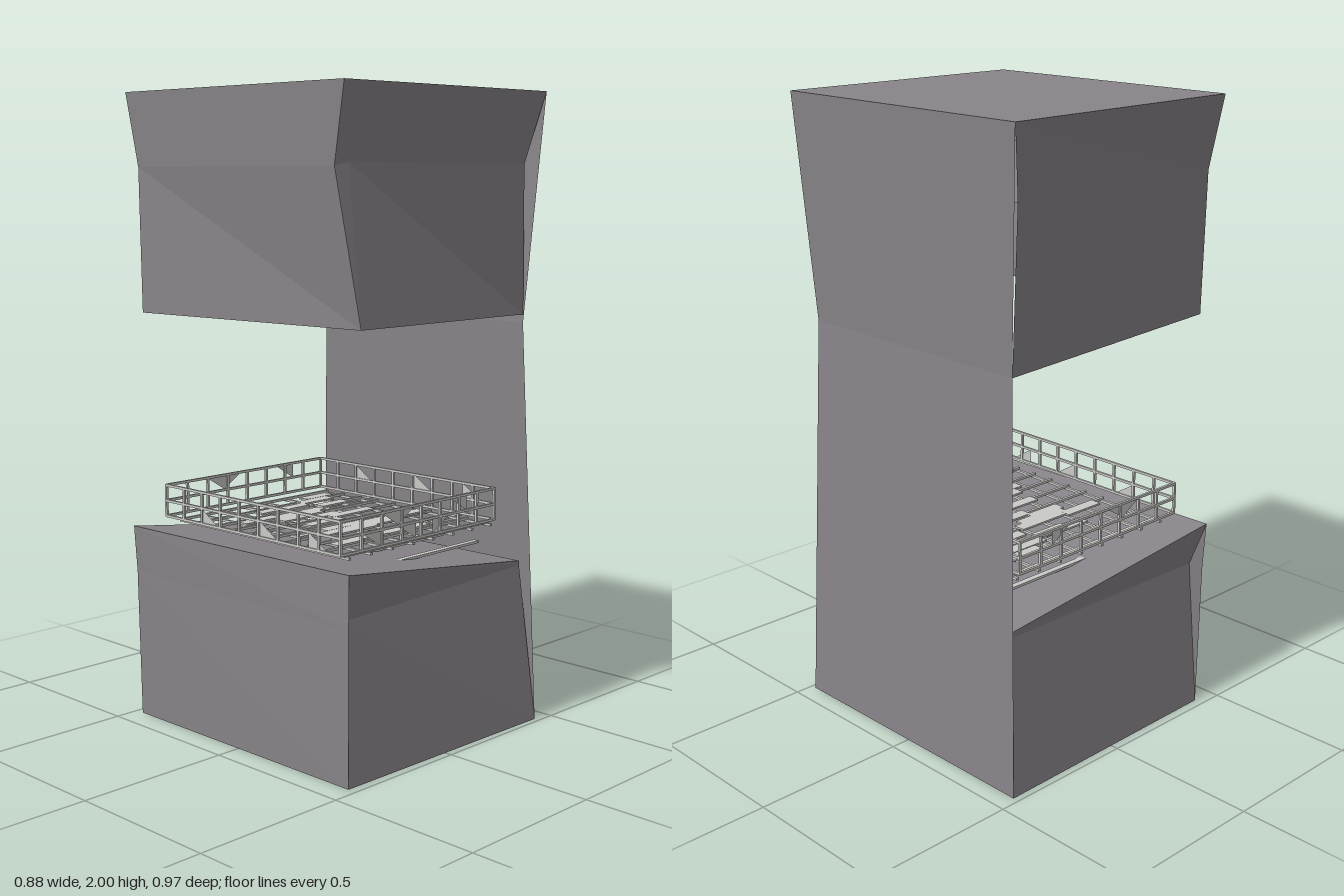
import * as THREE from 'three';

const hullMat = new THREE.MeshStandardMaterial({ name: 'warmGrey', color: 0x888489, side: THREE.DoubleSide, flatShading: true });
const railMat = new THREE.MeshStandardMaterial({ name: 'paleGrey', color: 0xcacac8, side: THREE.DoubleSide });

// Flat-shaded mesh from four-cornered faces
function faces(name, quads, mat = hullMat) {
  const pos = [];
  for (const [a, b, c, d] of quads) pos.push(...a, ...b, ...c, ...a, ...c, ...d);
  const g = new THREE.BufferGeometry();
  g.setAttribute('position', new THREE.Float32BufferAttribute(pos, 3));
  g.computeVertexNormals();
  const m = new THREE.Mesh(g, mat);
  m.name = name;
  return m;
}

// Rings run back-left, front-left, ..., front-right, back-right; the +x side stays open
function skin(rings) {
  const quads = [];
  for (let r = 0; r < rings.length - 1; r++) {
    const up = rings[r], low = rings[r + 1], n = up.length;
    for (let i = 0; i < n; i++) {
      if (i === n - 2) continue;
      const j = (i + 1) % n;
      quads.push([up[i], low[i], low[j], up[j]]);
    }
  }
  return quads;
}

function bar(group, name, x, y, z, w, h, d) {
  const m = new THREE.Mesh(new THREE.BoxGeometry(w, h, d), railMat);
  m.position.set(x, y, z);
  m.name = name;
  group.add(m);
}

export function createModel() {
  const model = new THREE.Group();
  model.name = 'hollowTower';

  // Hollow upper block with pinched waist and a ceiling
  const top = [[-0.44, 2, -0.475], [-0.44, 2, 0.472], [-0.44, 2, 0.472], [0.437, 2, 0.482], [0.437, 2, -0.483]];
  const waist = [[-0.43, 1.77, -0.43], [-0.43, 1.77, 0.425], [-0.375, 1.78, 0.425], [0.4, 1.78, 0.43], [0.4, 1.78, -0.455]];
  const hem = [[-0.43, 1.32, -0.42], [-0.372, 1.318, 0.472], [-0.372, 1.318, 0.472], [0.4, 1.315, 0.435], [0.4, 1.29, -0.435]];
  model.add(faces('upperBlock', skin([top, waist, hem])));
  model.add(faces('roof', [[top[0], top[1], top[3], top[4]]]));
  model.add(faces('ceiling', [[waist[4], waist[3], waist[1], waist[0]]]));

  // Lower block with a sloping rim; front and back tuck in under it beside the straight outer side
  const rim = [[-0.44, 0.63, -0.472], [-0.44, 0.63, -0.472], [-0.418, 0.63, 0.472], [-0.418, 0.63, 0.472],
    [0.4, 0.525, 0.435], [0.4, 0.52, -0.44]];
  const neck = [[-0.405, 0.49, -0.435], [-0.432, 0.48, -0.468], [-0.42, 0.47, 0.472], [-0.41, 0.485, 0.435],
    [0.402, 0.51, 0.434], [0.402, 0.5, -0.438]];
  const foot = [[-0.42, 0, -0.47], [-0.42, 0, -0.47], [-0.42, 0, 0.472], [-0.42, 0, 0.472],
    [0.437, 0, 0.482], [0.437, 0, -0.48]];
  model.add(faces('lowerBlock', skin([rim, neck, foot])));
  model.add(faces('lowerBlockTop', [[rim[0], rim[2], rim[4], rim[5]]]));
  model.add(faces('base', [[foot[5], foot[4], foot[2], foot[0]]]));

  // Bent side wall joining both blocks
  const front = [[0.437, 2, 0.482], [0.4, 1.29, 0.435], [0.437, 0, 0.482]];
  const back = [[0.437, 2, -0.483], [0.4, 1.29, -0.435], [0.437, 0, -0.48]];
  model.add(faces('sideWall', [0, 1].map(i => [front[i], front[i + 1], back[i + 1], back[i]])));

  // Railed platform
  const platform = new THREE.Group();
  platform.name = 'platform';
  model.add(platform);
  const X0 = -0.37, X1 = 0.325, Z = 0.39, t = 0.008;
  const cx = (X0 + X1) / 2, w = X1 - X0;
  for (const y of [0.665, 0.715, 0.765]) {
    for (const s of [-1, 1]) {
      bar(platform, 'rail', cx, y, s * Z, w, t, t);
      bar(platform, 'rail', s < 0 ? X0 : X1, y, 0, t, t, 2 * Z);
    }
  }
  for (let i = 0; i <= 9; i++) {
    for (const s of [-1, 1]) {
      if (i <= 8) bar(platform, 'post', X0 + w * i / 8, 0.715, s * Z, t, 0.105, t);
      bar(platform, 'post', s < 0 ? X0 : X1, 0.715, -Z + 2 * Z * i / 9, t, 0.105, t);
    }
  }

  // Joists and scattered deck boards
  for (let i = 0; i <= 9; i++) bar(platform, 'joist', 0, 0.652, -0.36 + 0.08 * i, 0.66, 0.008, 0.01);
  for (let i = 0; i <= 7; i++) bar(platform, 'crossJoist', -0.32 + 0.092 * i, 0.645, 0, 0.01, 0.008, 0.76);
  for (const z of [-0.2, 0.2]) bar(platform, 'wallBracket', 0.18, 0.643, z, 0.4, 0.006, 0.02);
  let seed = 7;
  const rnd = () => (seed = (seed * 16807) % 2147483647) / 2147483647;
  for (let i = 0; i < 22; i++) {
    bar(platform, 'deckBoard', -0.22 + 0.46 * rnd(), 0.66, -0.32 + 0.64 * rnd(), 0.08 + 0.12 * rnd(), 0.006, 0.04);
  }

  // Loose beams lying under the platform
  for (const z of [-0.3, -0.15, 0, 0.15, 0.3]) bar(platform, 'looseBeam', 0.14, 0.575, z, 0.42, 0.008, 0.02);

  // Triangular infill sheets on the railing
  const sheet = (a, b, c) => platform.add(faces('infillSheet', [[a, b, c, c]], railMat));
  for (const [x, d] of [[-0.2, 0.08], [-0.05, -0.08], [0.11, 0.08]]) {
    for (const s of [-1, 1]) sheet([x, 0.765, s * Z], [x + d, 0.765, s * Z], [x + d, 0.715, s * Z]);
  }
  for (const [x, d] of [[-0.28, 0.08], [-0.13, 0.085], [0.11, -0.08]]) {
    sheet([x, 0.715, Z], [x + d, 0.715, Z], [x + d, 0.665, Z]);
  }
  for (const z of [-0.22, 0.05, 0.26]) {
    sheet([X0, 0.715, z], [X0, 0.665, z], [X0, 0.665, z + 0.08]);
    sheet([X1, 0.765, z], [X1, 0.715, z], [X1, 0.715, z + 0.08]);
  }
  return model;
}
